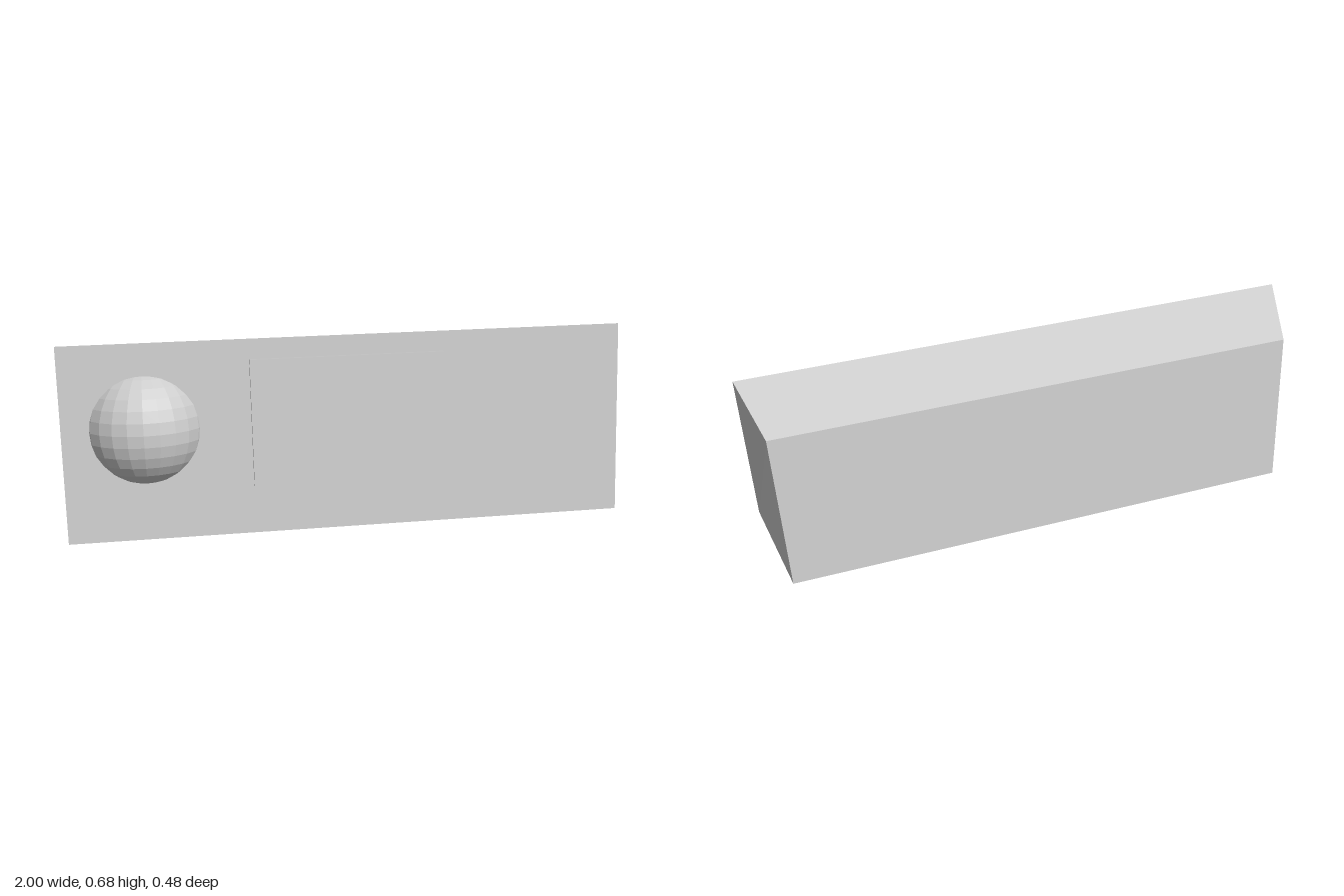
import * as THREE from 'three';

const TILT = -0.182; // the front face leans back

export function createModel() {
  const model = new THREE.Group();
  const material = new THREE.MeshStandardMaterial({ color: 0xcccccc, flatShading: true });

  const add = (name, geometry, x, y, z, tilt = 0) => {
    const mesh = new THREE.Mesh(geometry, material);
    mesh.name = name;
    mesh.position.set(x, y, z);
    mesh.rotation.x = tilt;
    model.add(mesh);
  };

  // Wedge body: a box whose corners move to a leaning front and a smaller back
  const body = new THREE.BoxGeometry(2, 1, 1);
  const p = body.attributes.position;
  for (let i = 0; i < p.count; i++) {
    const side = Math.sign(p.getX(i));
    const top = p.getY(i) > 0;
    if (p.getZ(i) > 0) p.setXYZ(i, side, top ? 0.683 : 0, top ? 0.067 : 0.193);
    else p.setXYZ(i, side * 0.935, top ? 0.588 : 0.017, top ? -0.162 : -0.24);
  }
  body.computeVertexNormals();
  add('body', body, 0, 0, 0);

  // Raised rectangular panel on the leaning front
  add('frontPanel', new THREE.BoxGeometry(0.69, 0.45, 0.024), 0, 0.393, 0.131, -0.178);

  // Faceted dome: front half of a sphere sunk into the body
  const dome = new THREE.SphereGeometry(0.214, 12, 16, 0, Math.PI);
  add('dome', dome, -0.715, 0.367, 0.025, TILT);

  return model;
}
